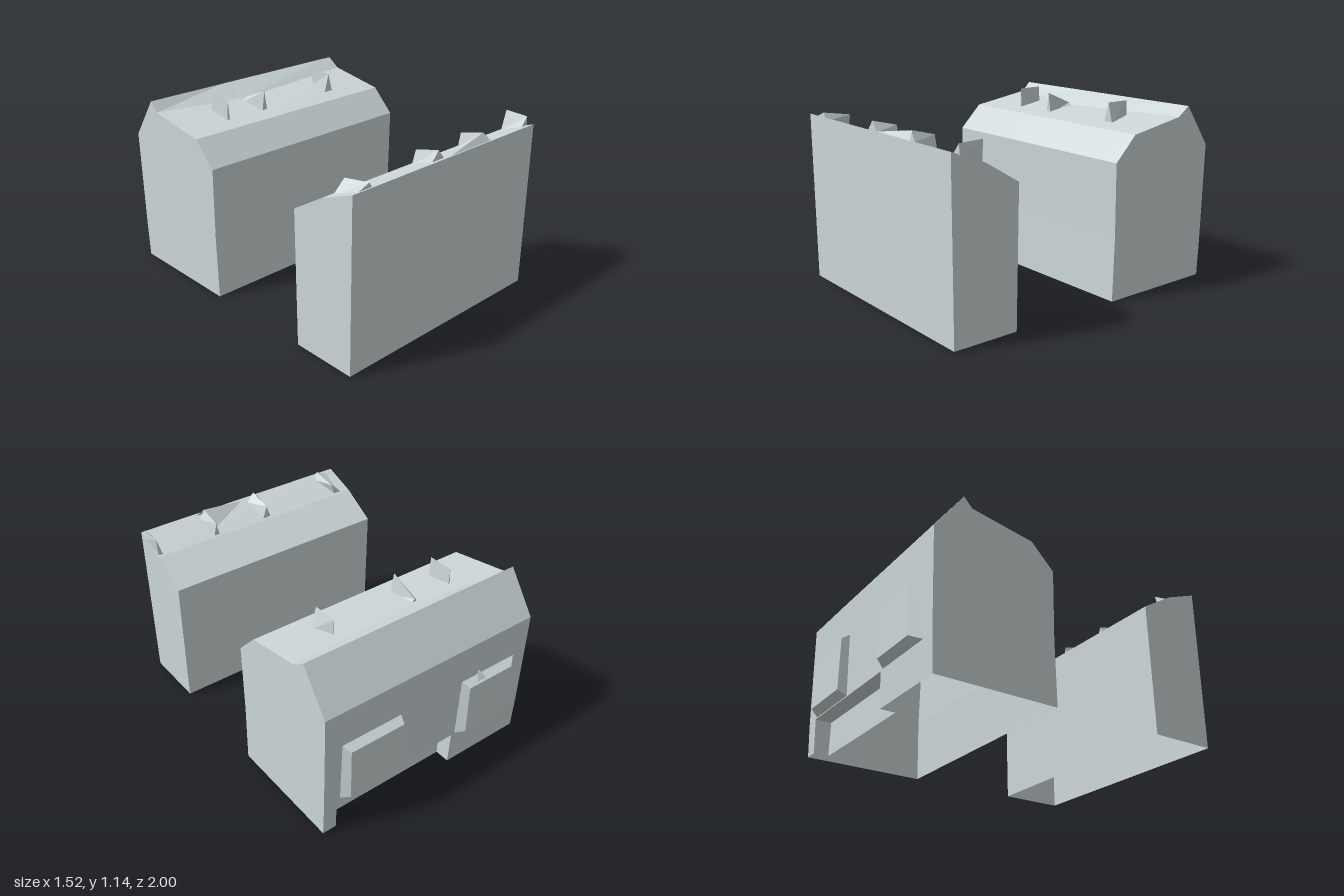
import * as THREE from 'three';

const wallMat = new THREE.MeshStandardMaterial({ color: 0xcdd7d8, side: THREE.DoubleSide });
wallMat.name = 'paleGrey';

// Faceted mesh from a flat list of points, three per triangle
function facets(name, pts) {
  const g = new THREE.BufferGeometry();
  g.setAttribute('position', new THREE.Float32BufferAttribute(pts.flat(), 3));
  g.computeVertexNormals();
  const m = new THREE.Mesh(g, wallMat);
  m.name = name;
  return m;
}

const quad = (a, b, c, d) => [a, b, c, a, c, d];

// Open-bottomed shell: sections are { x, p: [[z, y], ...] }, running front bottom, over the roof, to back bottom
function shell(name, sections) {
  const pts = [];
  const at = (s, i) => [s.x, s.p[i][1], s.p[i][0]];
  for (let s = 0; s < sections.length - 1; s++) {
    const A = sections[s], B = sections[s + 1];
    for (let i = 0; i < A.p.length - 1; i++) {
      pts.push(...quad(at(A, i), at(B, i), at(B, i + 1), at(A, i + 1)));
    }
  }
  // Gable ends
  [[sections[0], -1], [sections[sections.length - 1], 1]].forEach(([s, side]) => {
    const c = s.p.map(([z, y]) => new THREE.Vector2(-z, y));
    THREE.ShapeUtils.triangulateShape(c, []).forEach(([i, j, k]) => {
      const area = THREE.ShapeUtils.area([c[i], c[j], c[k]]);
      const order = area * side > 0 ? [i, j, k] : [i, k, j];
      pts.push(...order.map((n) => at(s, n)));
    });
  });
  return facets(name, pts);
}

// Tent-like roof piece with a ridge along z; wF and wB are its front and back half widths
function wedge(name, x, top, base, zF, zB, wF, wB, lean = 0) {
  const r = [x + lean, top[0], zF], q = [x + lean, top[1], zB];
  const a = [x - wF, base[0], zF], b = [x + wF, base[0], zF];
  const c = [x - wB, base[1], zB], d = [x + wB, base[1], zB];
  return facets(name, [a, b, r, d, c, q, ...quad(b, d, q, r), ...quad(c, a, r, q)]);
}

// Bevelled bay standing out of the rear wall
function bay(name, x0, x1, f0, f1) {
  const o = [[x0, 0.22], [x1, 0.22], [x1, 0.64], [x0, 0.64]].map(([x, y]) => [x, y, -0.935]);
  const f = [[f0, 0.26], [f1, 0.26], [f1, 0.595], [f0, 0.595]].map(([x, y]) => [x, y, -1]);
  const pts = quad(f[3], f[2], f[1], f[0]);
  for (let i = 0; i < 4; i++) {
    const j = (i + 1) % 4;
    pts.push(...quad(o[j], o[i], f[i], f[j]));
  }
  return facets(name, pts);
}

export function createModel() {
  const model = new THREE.Group();
  model.name = 'buildings';

  // Front building: tall street wall and a single roof slope falling to the rear
  const front = new THREE.Group();
  front.name = 'frontBuilding';
  const slab = [[1, 0.005], [1, 1.068], [0.785, 0.985], [0.565, 0.85], [0.58, 0.005]];
  front.add(shell('frontBuildingShell', [{ x: -0.76, p: slab }, { x: 0.755, p: slab }]));
  front.add(wedge('roofPeakA', -0.67, [1.09, 1.06], [1.04, 0.985], 0.98, 0.8, 0.08, 0.03, 0.05));
  front.add(wedge('roofPeakB', -0.07, [1.11, 1.07], [1.05, 0.985], 0.96, 0.8, 0.05, 0.03));
  front.add(wedge('roofPeakC', 0.32, [1.11, 1.07], [1.05, 0.985], 0.95, 0.8, 0.035, 0.02));
  front.add(wedge('roofPeakD', 0.73, [1.105, 1.11], [1.04, 0.985], 0.95, 0.8, 0.03, 0.015, 0.025));
  // Low rise running up to the third peak
  front.add(facets('roofRise', [[0, 1.06, 0.985], [0.36, 1.06, 0.985], [0.33, 1.11, 0.95],
    [0, 1.06, 0.985], [0.33, 1.11, 0.95], [0.3, 1.01, 0.85]]));
  model.add(front);

  // Rear building: bent roof with a step below the ridge, and a low recess in the rear wall
  const rear = new THREE.Group();
  rear.name = 'rearBuilding';
  const lerp = THREE.MathUtils.lerp;
  const section = (x, recessed) => {
    const t = x < -0.12 ? (-0.12 - x) / 0.64 : (x + 0.12) / 0.88;
    const valleyZ = lerp(-0.63, x < -0.12 ? -0.72 : -0.69, t);
    const valleyY = lerp(1.045, 1.065, t);
    const foot = recessed
      ? [[-0.945, 0.22], [-0.84, 0.22], [-0.84, 0]]
      : [[-0.945, 0.22], [-0.94, 0.11], [-0.935, 0]];
    return { x, p: [[-0.155, 0], [-0.165, 0.4], [-0.16, 0.85], [-0.31, 1.0],
      [valleyZ, valleyY], [-0.775, 1.125], [-0.96, 0.865], ...foot] };
  };
  rear.add(shell('rearBuildingShell', [section(-0.76), section(-0.2), section(-0.2, true),
    section(-0.12, true), section(0.67, true), section(0.67), section(0.76)]));
  rear.add(wedge('chimneyA', -0.43, [1.14, 1.14], [1.0, 1.03], -0.425, -0.59, 0.01, 0.005));
  rear.add(wedge('chimneyB', -0.14, [1.14, 1.06], [1.0, 1.03], -0.425, -0.61, 0.02, 0.03));
  rear.add(wedge('chimneyC', 0.42, [1.14, 1.14], [1.0, 1.03], -0.425, -0.585, 0.038, 0.003));
  rear.add(bay('bayLeft', 0.225, 0.655, 0.245, 0.615));
  rear.add(bay('bayRight', -0.68, -0.22, -0.6, -0.26));
  // Small nub above the right bay
  rear.add(facets('bayNub', [[-0.33, 0.6, -0.99], [-0.4, 0.6, -0.99], [-0.365, 0.66, -0.95],
    [-0.33, 0.6, -0.99], [-0.365, 0.66, -0.95], [-0.365, 0.6, -0.94],
    [-0.4, 0.6, -0.99], [-0.365, 0.6, -0.94], [-0.365, 0.66, -0.95]]));
  model.add(rear);

  return model;
}
